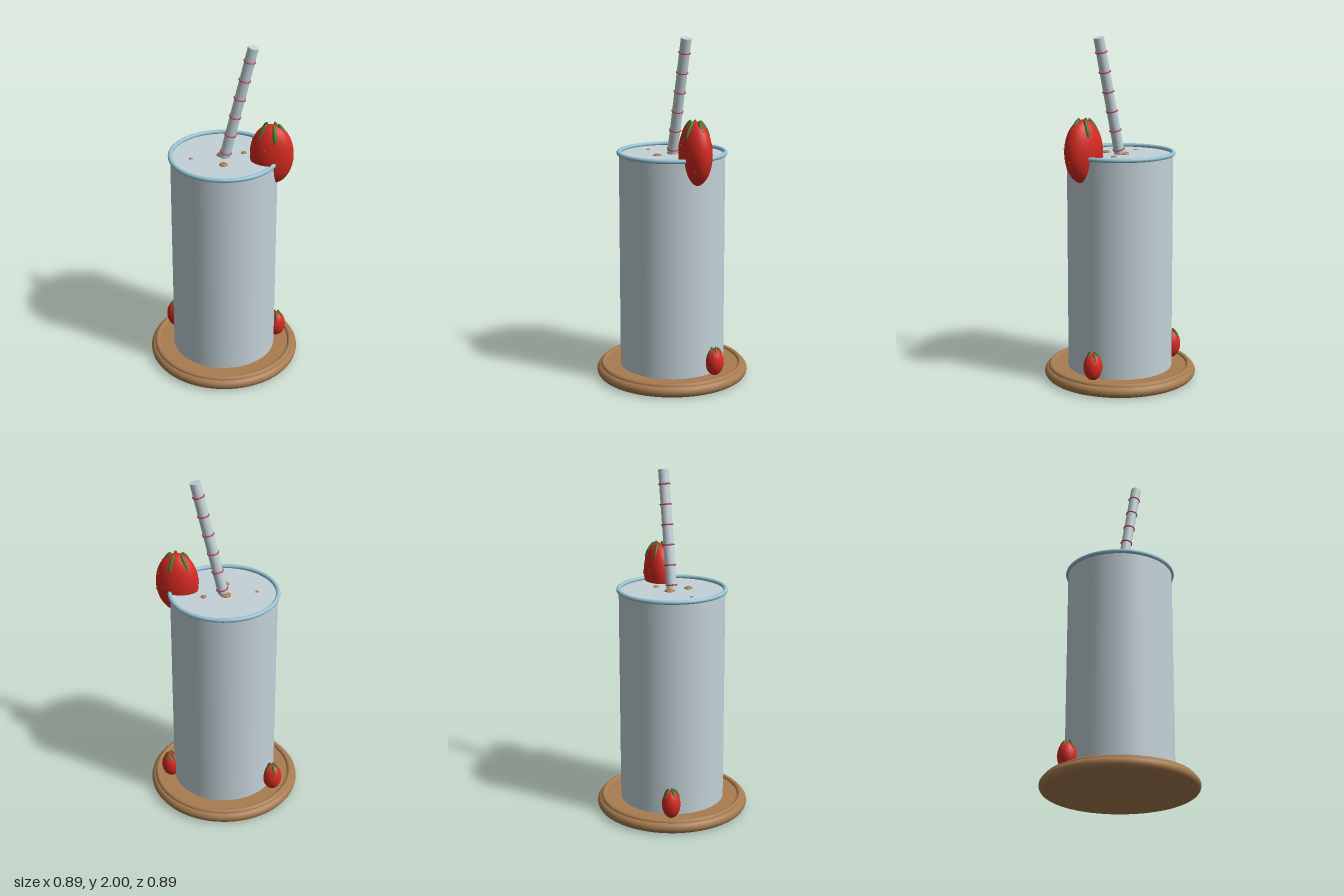
import * as THREE from 'three';

const material = (name, color) => {
  const m = new THREE.MeshStandardMaterial({ color });
  m.name = name;
  return m;
};

export function createModel() {
  const model = new THREE.Group();
  model.name = 'strawberryDrink';

  const glassMat = material('pale blue grey', 0xc3d2d8);
  const rimMat = material('light blue', 0x95c4d4);
  const woodMat = material('wood brown', 0xa87c50);
  const redMat = material('strawberry red', 0xd62a20);
  const leafMat = material('leaf green', 0x3d7a28);
  const ringMat = material('straw pink', 0xc2485c);
  const seedMat = material('seed red', 0xb84a28);

  const add = (parent, name, geometry, mat, x = 0, y = 0, z = 0) => {
    const mesh = new THREE.Mesh(geometry, mat);
    mesh.name = name;
    mesh.position.set(x, y, z);
    parent.add(mesh);
    return mesh;
  };
  const ball = new THREE.SphereGeometry(1, 32, 20);

  // Wooden coaster: flat disc, round edge and a raised bead
  add(model, 'coaster', new THREE.CylinderGeometry(0.41, 0.41, 0.066, 64), woodMat, 0, 0.033, 0);
  const edge = add(model, 'coasterEdge', new THREE.TorusGeometry(0.412, 0.033, 16, 72), woodMat, 0, 0.033, 0);
  edge.rotation.x = Math.PI / 2;
  const bead = add(model, 'coasterBead', new THREE.TorusGeometry(0.406, 0.017, 12, 72), woodMat, 0, 0.063, 0);
  bead.rotation.x = Math.PI / 2;

  // Tall glass, drink surface and rim
  add(model, 'glass', new THREE.CylinderGeometry(0.305, 0.305, 1.27, 64, 1, true), glassMat, 0, 0.695, 0);
  const drink = add(model, 'drinkSurface', new THREE.CircleGeometry(0.305, 64), glassMat, 0, 1.322, 0);
  drink.rotation.x = -Math.PI / 2;
  const rim = add(model, 'glassRim', new THREE.TorusGeometry(0.306, 0.0125, 12, 72), rimMat, 0, 1.33, 0);
  rim.rotation.x = Math.PI / 2;

  // Crumbs floating on the drink
  const crumbs = [[-0.015, -0.018, 0.03], [0.014, 0.103, 0.024], [0.104, -0.062, 0.017], [-0.18, 0.058, 0.011]];
  for (const [x, z, r] of crumbs) {
    add(model, 'crumb', ball, woodMat, x, 1.322, z).scale.set(r, r * 0.5, r);
  }

  // Leaning straw with evenly spaced rings
  const straw = new THREE.Group();
  straw.name = 'straw';
  straw.position.set(0.003, 1.32, 0);
  straw.rotation.z = -0.23;
  model.add(straw);
  add(straw, 'strawTube', new THREE.CylinderGeometry(0.03, 0.03, 0.69, 32), glassMat, 0, 0.345, 0);
  for (let i = 0; i < 6; i++) {
    const ring = add(straw, 'strawRing', new THREE.TorusGeometry(0.031, 0.0045, 8, 32), ringMat, 0, 0.032 + i * 0.115, 0);
    ring.rotation.x = Math.PI / 2;
  }

  // Strawberry: ellipsoid body, five leaves drooping outward, small seeds
  const strawberry = (name, [x, y, z], [rx, ry, rz], leaf, turn, seeds) => {
    const berry = new THREE.Group();
    berry.name = name;
    berry.position.set(x, y, z);
    model.add(berry);
    add(berry, 'berryBody', ball, redMat).scale.set(rx, ry, rz);
    for (let i = 0; i < 5; i++) {
      const a = turn + i * Math.PI * 0.4;
      const m = add(berry, 'leaf', ball, leafMat, Math.cos(a) * rx * 0.5, ry * 0.76, Math.sin(a) * rz * 0.59);
      m.scale.set(...leaf);
      m.rotation.set(0, -a, 0.5);
    }
    for (let i = 0; i < seeds; i++) {
      const h = 0.75 - (1.4 * i) / seeds;
      const a = i * 2.4;
      const r = Math.sqrt(1 - h * h);
      add(berry, 'seed', ball, seedMat, Math.cos(a) * r * rx, h * ry, Math.sin(a) * r * rz).scale.setScalar(0.0045);
    }
  };
  strawberry('rimStrawberry', [0.272, 1.363, 0.004], [0.124, 0.182, 0.084], [0.015, 0.056, 0.012], 0, 18);
  strawberry('leftBaseStrawberry', [0.308, 0.141, -0.108], [0.055, 0.08, 0.053], [0.009, 0.029, 0.007], 0.15, 0);
  strawberry('rightBaseStrawberry', [-0.32, 0.146, -0.108], [0.056, 0.084, 0.053], [0.01, 0.032, 0.007], Math.PI - 0.15, 0);

  return model;
}
